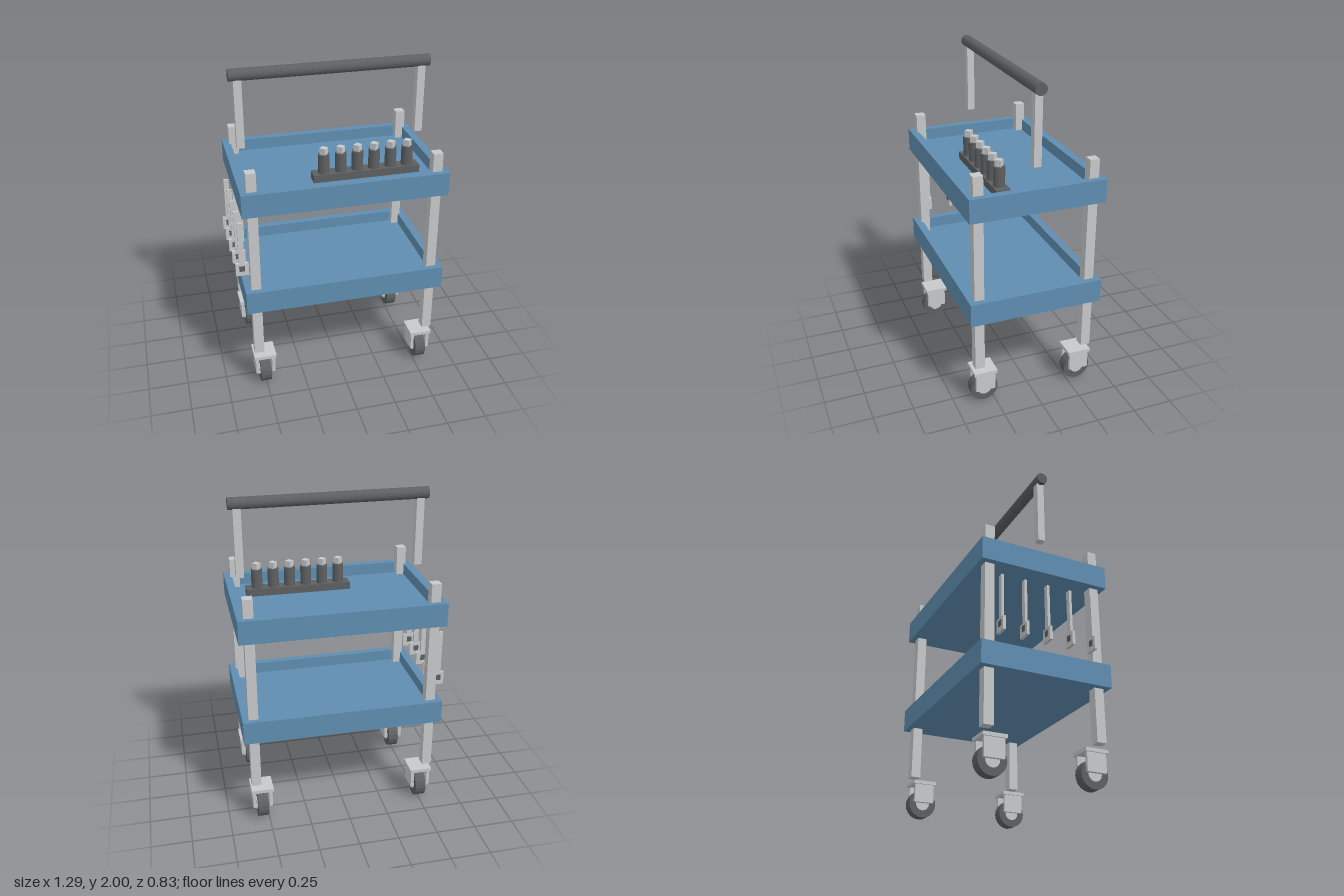
import * as THREE from 'three';

export function createModel() {
  const model = new THREE.Group();
  model.name = 'toolTrolley';

  const paint = (name, color) => {
    const m = new THREE.MeshStandardMaterial({ color, flatShading: true });
    m.name = name;
    return m;
  };
  const blue = paint('blue paint', 0x5f8db0);
  const steel = paint('light steel', 0xc6c8ca);
  const dark = paint('dark rubber', 0x5d5f61);

  const add = (parent, name, geometry, material, x, y, z) => {
    const mesh = new THREE.Mesh(geometry, material);
    mesh.name = name;
    mesh.position.set(x, y, z);
    parent.add(mesh);
    return mesh;
  };
  // Box given by its centre in x and z, and its bottom and top heights
  const box = (parent, name, mat, x, z, w, d, y0, y1) =>
    add(parent, name, new THREE.BoxGeometry(w, y1 - y0, d), mat, x, (y0 + y1) / 2, z);
  const group = (name, x = 0, y = 0, z = 0) => {
    const g = new THREE.Group();
    g.name = name;
    g.position.set(x, y, z);
    model.add(g);
    return g;
  };

  const cx = 0.017; // the frame sits slightly off centre because of the side tools

  // Two open trays: a rim with a raised floor inside
  const rect = (target, hw, hd) => {
    target.moveTo(-hw, -hd);
    target.lineTo(hw, -hd);
    target.lineTo(hw, hd);
    target.lineTo(-hw, hd);
    target.closePath();
    return target;
  };
  for (const [name, y] of [['lowerTray', 0.595], ['upperTray', 1.255]]) {
    const tray = group(name, cx, y, 0);
    const rim = rect(new THREE.Shape(), 0.624, 0.416);
    rim.holes.push(rect(new THREE.Path(), 0.575, 0.367));
    const rimGeometry = new THREE.ExtrudeGeometry(rim, { depth: 0.145, bevelEnabled: false });
    rimGeometry.rotateX(-Math.PI / 2);
    add(tray, 'trayRim', rimGeometry, blue, 0, 0, 0);
    box(tray, 'trayFloor', blue, 0, 0, 1.15, 0.734, 0, 0.073);
  }

  // Corner posts and casters
  for (const sx of [-1, 1]) {
    for (const sz of [-1, 1]) {
      box(model, 'cornerPost', steel, cx + sx * 0.557, sz * 0.351, 0.06, 0.06, 0.265, 1.515);

      const caster = group('caster', cx + sx * 0.521, 0, sz * 0.313);
      box(caster, 'casterPlate', steel, 0, 0, 0.14, 0.146, 0.204, 0.226);
      for (const side of [-1, 1]) {
        box(caster, 'casterFork', steel, side * 0.052, 0, 0.02, 0.124, 0.09, 0.206);
      }
      const wheel = new THREE.CylinderGeometry(0.087, 0.087, 0.066, 20).rotateZ(Math.PI / 2);
      add(caster, 'wheel', wheel, dark, 0, 0.087, 0);
      const hub = new THREE.CylinderGeometry(0.043, 0.043, 0.074, 16).rotateZ(Math.PI / 2);
      add(caster, 'wheelHub', hub, steel, 0, 0.087, 0);
    }
    box(model, 'handleUpright', steel, cx + sx * 0.556, 0, 0.048, 0.046, 1.515, 1.945);
  }

  // Push bar
  const bar = new THREE.CylinderGeometry(0.036, 0.036, 1.215, 20).rotateZ(Math.PI / 2);
  add(model, 'pushBar', bar, dark, cx, 1.964, 0);

  // Socket rack on the upper tray
  const rack = group('socketRack', 0.191, 0, 0.172);
  box(rack, 'rackBase', dark, 0, 0, 0.662, 0.084, 1.328, 1.375);
  for (let i = 0; i < 6; i++) {
    const x = (i - 2.5) * 0.1043;
    add(rack, 'socket', new THREE.CylinderGeometry(0.035, 0.035, 0.125, 16), dark, x, 1.4325, 0);
    add(rack, 'socketDrive', new THREE.CylinderGeometry(0.027, 0.027, 0.04, 4), steel, x, 1.514, 0);
  }

  // Row of wrenches hanging at the right side
  for (let i = -2; i <= 2; i++) {
    const wrench = group('wrench', -0.607, 0, i * 0.148);
    box(wrench, 'wrenchShaft', steel, -0.003, 0, 0.033, 0.017, 0.885, 1.165);
    box(wrench, 'wrenchHead', steel, 0, 0, 0.082, 0.018, 0.805, 0.89);
    box(wrench, 'wrenchSocket', dark, -0.003, 0, 0.034, 0.025, 0.836, 0.872);
  }

  return model;
}
